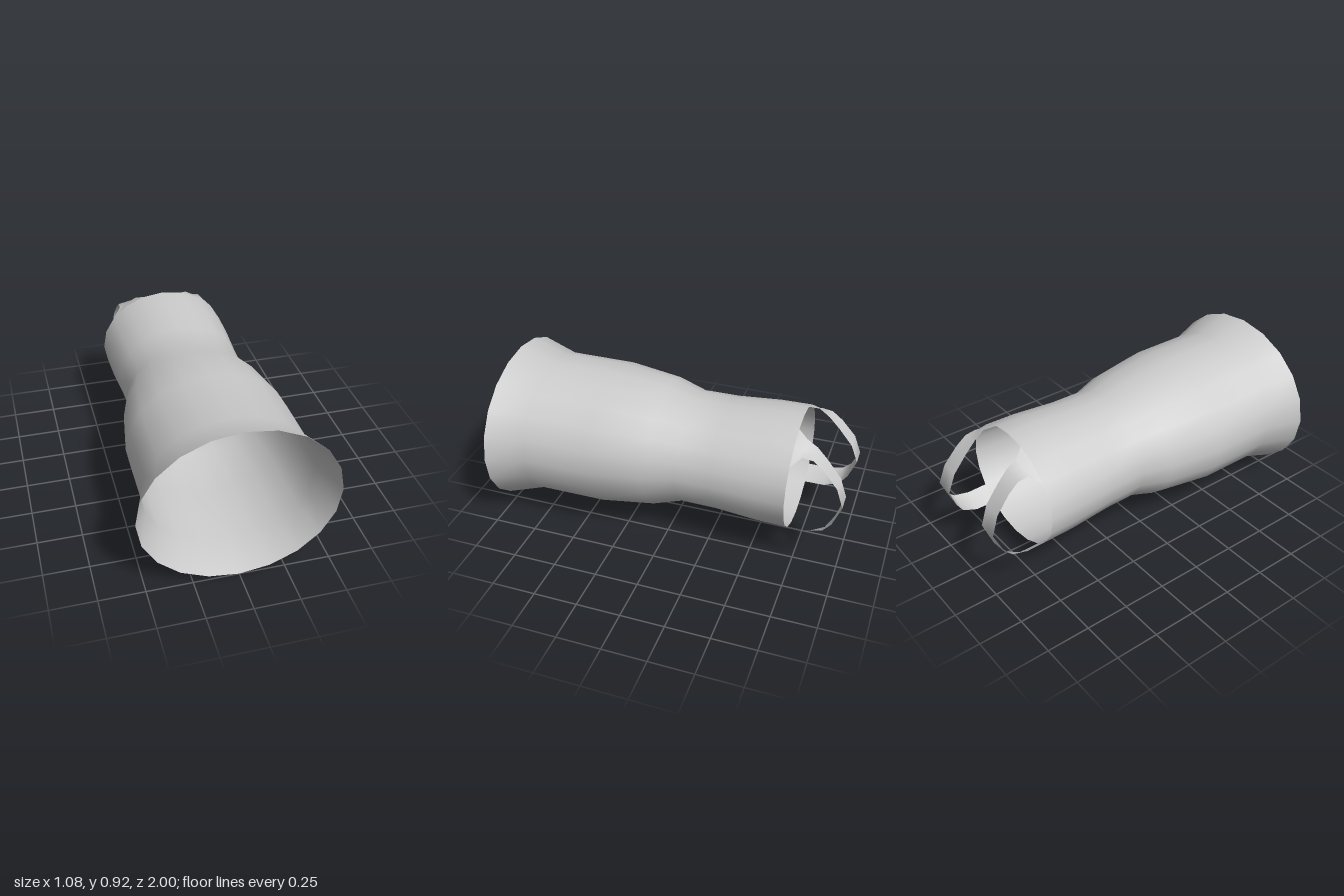
import * as THREE from 'three';

const material = new THREE.MeshStandardMaterial({ color: 0xcccccc, side: THREE.DoubleSide });

// Skin a smooth surface over rows of points; closed rows wrap around.
function loft(rows, closed, flip = false) {
  const n = rows[0].length, index = [];
  for (let r = 0; r < rows.length - 1; r++) {
    for (let i = 0; i < (closed ? n : n - 1); i++) {
      const j = (i + 1) % n;
      const a = r * n + i, b = r * n + j, c = a + n, d = b + n;
      if (flip) index.push(a, b, c, b, d, c);
      else index.push(a, c, b, b, c, d);
    }
  }
  const geometry = new THREE.BufferGeometry();
  geometry.setAttribute('position', new THREE.Float32BufferAttribute(rows.flat(2), 3));
  geometry.setIndex(index);
  geometry.computeVertexNormals();
  return geometry;
}

const SIDES = 20, CENTRE = 0.466;
const ringPoint = (i, rx, ry, z) => {
  const a = (i / SIDES) * Math.PI * 2;
  return [rx * Math.sin(a), CENTRE + ry * Math.cos(a), z];
};

export function createModel() {
  const model = new THREE.Group();
  model.name = 'sleevelessDress';

  // Body tube from hem to neckline: z, half width, half height
  const profile = [
    [1, 0.54, 0.461], [0.79, 0.47, 0.397], [0.4, 0.468, 0.397], [0.09, 0.418, 0.361],
    [-0.075, 0.364, 0.312], [-0.28, 0.37, 0.312], [-0.53, 0.386, 0.332], [-0.705, 0.39, 0.334],
  ];
  const rings = profile.map(([z, rx, ry]) =>
    Array.from({ length: SIDES }, (_, i) => ringPoint(i, rx, ry, z)));
  const body = new THREE.Mesh(loft(rings, true, true), material);
  body.name = 'dressBody';
  model.add(body);

  // Strap rows run over the shoulder: z, inner x, inner y, outer x, outer y
  const strapRows = [
    [-0.76, 0.163, 0.757, 0.266, 0.702], [-0.82, 0.16, 0.715, 0.264, 0.694],
    [-0.88, 0.162, 0.65, 0.267, 0.645], [-0.96, 0.165, 0.55, 0.275, 0.55],
    [-1, 0.172, 0.44, 0.283, 0.44], [-0.955, 0.198, 0.315, 0.303, 0.335],
    [-0.91, 0.217, 0.242, 0.312, 0.29], [-0.82, 0.229, 0.197, 0.315, 0.267],
    [-0.705, 0.229, 0.196, 0.315, 0.27],
  ];
  for (const side of [1, -1]) {
    const rows = strapRows.map(([z, xi, yi, xo, yo]) => [
      [side * xi, yi, z],
      [side * (xi + xo) / 2, (yi + yo) / 2, z],
      [side * xo, yo, z],
    ]);
    // The root flares to three neighbouring corners of the neckline
    rows.unshift([1, 2, 3].map((i) => {
      const [x, y, z] = ringPoint(i, 0.39, 0.334, -0.705);
      return [side * x, y, z];
    }));
    const strap = new THREE.Mesh(loft(rows, false, side > 0), material);
    strap.name = side > 0 ? 'leftStrap' : 'rightStrap';
    model.add(strap);
  }
  return model;
}
